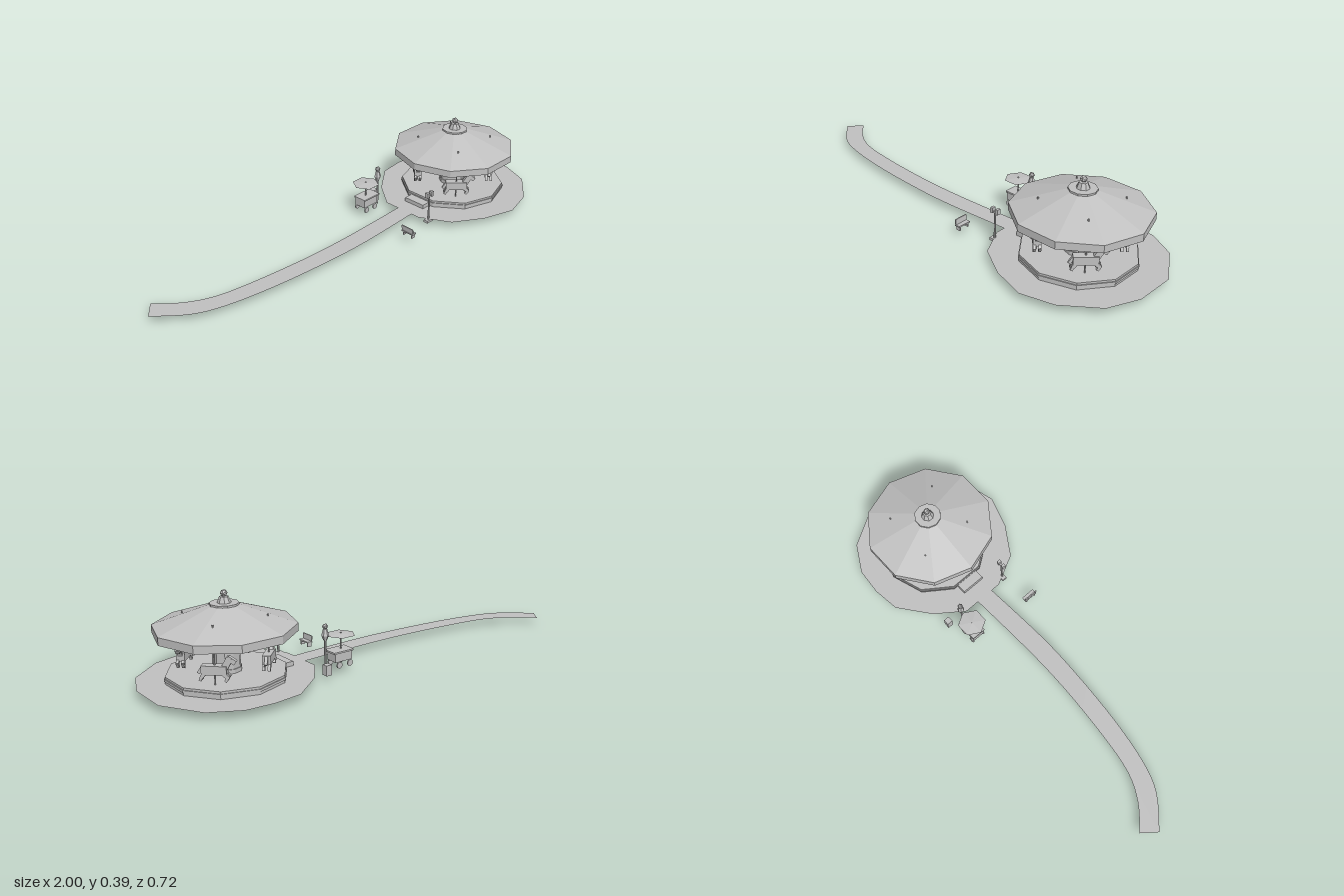
import * as THREE from 'three';

const stone = new THREE.MeshStandardMaterial({ color: 0xc0c0c0, flatShading: true, side: THREE.DoubleSide });
stone.name = 'plain grey';

const GROUND = 0.036;

function add(parent, name, geometry, x = 0, y = 0, z = 0) {
  const mesh = new THREE.Mesh(geometry, stone);
  mesh.name = name;
  mesh.position.set(x, y, z);
  parent.add(mesh);
  return mesh;
}

function group(parent, name, x = 0, y = 0, z = 0) {
  const g = new THREE.Group();
  g.name = name;
  g.position.set(x, y, z);
  parent.add(g);
  return g;
}

const box = (w, h, d) => new THREE.BoxGeometry(w, h, d);

// Upright prism or frustum between two heights
function drum(parent, name, y0, y1, r0, r1 = r0, sides = 10, open = false) {
  return add(parent, name, new THREE.CylinderGeometry(r1, r0, y1 - y0, sides, 1, open), 0, (y0 + y1) / 2, 0);
}

// Square bar between two points in the xy plane
function bar(parent, name, x0, y0, x1, y1, thick, depth, z = 0) {
  const m = add(parent, name, box(Math.hypot(x1 - x0, y1 - y0), thick, depth), (x0 + x1) / 2, (y0 + y1) / 2, z);
  m.rotation.z = Math.atan2(y1 - y0, x1 - x0);
  return m;
}

// Flat ground patch from plan points (x, z)
const plan = (points) => points.map(([x, z]) => new THREE.Vector2(x, -z));
const smooth = (points) => new THREE.SplineCurve(plan(points)).getPoints(24);
function patch(parent, name, outline, y) {
  return add(parent, name, new THREE.ShapeGeometry(new THREE.Shape(outline)).rotateX(-Math.PI / 2), 0, y, 0);
}

// Galloping horse facing +x
function addHorse(parent, x, z, turn) {
  const h = group(parent, 'horse', x, 0, z);
  h.rotation.y = turn;
  add(h, 'horseBody', box(0.098, 0.036, 0.034), 0, 0.128, 0);
  bar(h, 'neck', 0.036, 0.132, 0.062, 0.178, 0.026, 0.02);
  bar(h, 'head', 0.052, 0.178, 0.082, 0.158, 0.018, 0.018);
  bar(h, 'tail', -0.044, 0.142, -0.062, 0.112, 0.012, 0.012);
  for (const s of [-1, 1]) {
    bar(h, 'frontThigh', 0.036, 0.116, 0.056, 0.1, 0.015, 0.011, s * 0.011);
    bar(h, 'frontShin', 0.056, 0.105, 0.044, 0.086, 0.011, 0.011, s * 0.011);
    bar(h, 'rearThigh', -0.036, 0.118, -0.048, 0.1, 0.015, 0.011, s * 0.011);
    bar(h, 'rearShin', -0.047, 0.104, -0.054, 0.086, 0.011, 0.011, s * 0.011);
  }
}

function addCarousel(root) {
  const c = group(root, 'carousel', 0.65, 0, -0.009);
  // Platform
  drum(c, 'platformBody', 0, 0.048, 0.243);
  drum(c, 'platformLip', 0.048, 0.058, 0.247);
  drum(c, 'platformDeck', 0.058, 0.067, 0.243);
  // Central column
  drum(c, 'column', 0.067, 0.335, 0.057);
  drum(c, 'columnFoot', 0.067, 0.084, 0.061);
  drum(c, 'columnCollar', 0.217, 0.228, 0.061);
  // Hollow roof with a vertical skirt
  const roof = group(c, 'roof');
  roof.rotation.y = Math.PI / 10;
  drum(roof, 'roofSkirt', 0.224, 0.256, 0.286, 0.286, 10, true);
  drum(roof, 'roofCone', 0.256, 0.335, 0.286, 0.057, 10, true);
  drum(roof, 'roofCap', 0.334, 0.342, 0.059);
  drum(roof, 'spire', 0.342, 0.367, 0.028, 0.018, 8);
  add(roof, 'finial', new THREE.IcosahedronGeometry(0.0155), 0, 0.38, 0);
  // Four horses on poles
  for (let i = 0; i < 4; i++) {
    const a = Math.PI / 4 + i * Math.PI / 2;
    const x = 0.171 * Math.cos(a), z = 0.171 * Math.sin(a);
    const pole = drum(c, 'pole', 0.067, 0.302, 0.0032, 0.0032, 6);
    pole.position.x = x;
    pole.position.z = z;
    addHorse(c, x, z, Math.PI / 2 - a);
  }
}

function addCart(root) {
  const c = group(root, 'vendorCart', 0.198, 0, -0.159);
  add(c, 'cartBody', box(0.086, 0.038, 0.056), 0.005, 0.073, 0);
  add(c, 'cartTop', box(0.1, 0.007, 0.066), 0.008, 0.095, 0);
  for (const s of [-1, 1]) {
    for (const x of [-0.024, 0.03]) {
      const wheel = add(c, 'wheel', new THREE.CylinderGeometry(0.014, 0.014, 0.006, 8), x, 0.041, s * 0.03);
      wheel.rotation.x = Math.PI / 2;
    }
  }
  drum(c, 'umbrellaPole', 0.09, 0.17, 0.003, 0.003, 6);
  drum(c, 'umbrella', 0.161, 0.166, 0.062, 0.004, 6).rotation.y = Math.PI / 6;
}

function addLamp(root) {
  const l = group(root, 'lampPost', 0.275, 0, -0.156);
  drum(l, 'lampPole', 0.027, 0.15, 0.0045, 0.0045, 6);
  drum(l, 'lanternBottom', 0.148, 0.17, 0.007, 0.016, 6);
  drum(l, 'lanternTop', 0.17, 0.197, 0.016, 0.009, 6);
  add(l, 'lampBall', new THREE.IcosahedronGeometry(0.013), 0, 0.208, 0);
}

// Post carrying a pair of boxes
function addViewer(root) {
  const v = group(root, 'viewerPost', 0.32, 0, 0.123);
  add(v, 'viewerFoot', box(0.038, 0.012, 0.022), 0, 0.028, 0);
  drum(v, 'viewerPole', 0.03, 0.16, 0.0045, 0.0045, 6);
  add(v, 'viewerBar', box(0.03, 0.006, 0.008), 0, 0.158, 0);
  for (const s of [-1, 1]) add(v, 'viewerBox', box(0.013, 0.024, 0.017), s * 0.0135, 0.163, 0);
}

function addBench(root) {
  const b = group(root, 'bench', 0.158, 0, 0.147);
  add(b, 'benchSeat', box(0.024, 0.006, 0.064), 0, 0.046, 0);
  bar(b, 'benchBack', -0.009, 0.05, -0.011, 0.074, 0.005, 0.064);
  for (const s of [-1, 1]) add(b, 'benchLeg', box(0.02, 0.02, 0.006), 0, 0.035, s * 0.024);
}

export function createModel() {
  const root = new THREE.Group();
  root.name = 'carouselPark';

  // Irregular plaza around the carousel
  patch(root, 'plaza', plan([
    [0.652, 0.355], [0.797, 0.318], [0.941, 0.206], [1, 0.067], [1, -0.115], [0.9, -0.28], [0.775, -0.35],
    [0.652, -0.36], [0.53, -0.345], [0.39, -0.238], [0.297, -0.115], [0.297, 0.083], [0.369, 0.222], [0.503, 0.307],
  ]), GROUND);

  // Curving path, far edge out and near edge back
  const farEdge = [[-0.947, -0.233], [-0.85, -0.147], [-0.727, -0.088], [-0.53, -0.056], [-0.267, -0.035], [-0.02, -0.033], [0.36, -0.048]];
  const nearEdge = [[0.36, 0.035], [-0.02, 0.056], [-0.267, 0.051], [-0.53, 0.029], [-0.743, -0.008], [-0.877, -0.061], [-1, -0.168]];
  patch(root, 'path', [...smooth(farEdge), ...smooth(nearEdge)], GROUND - 0.0005);

  addCarousel(root);

  // Entrance steps, the lower one sunk level with the plaza
  add(root, 'lowerStep', box(0.07, 0.017, 0.11), 0.375, 0.027, -0.009);
  add(root, 'upperStep', box(0.045, 0.02, 0.11), 0.393, 0.045, -0.009);

  addCart(root);
  addLamp(root);
  addViewer(root);
  addBench(root);
  add(root, 'litterBin', box(0.027, 0.044, 0.027), 0.308, 0.046, -0.213);
  return root;
}
